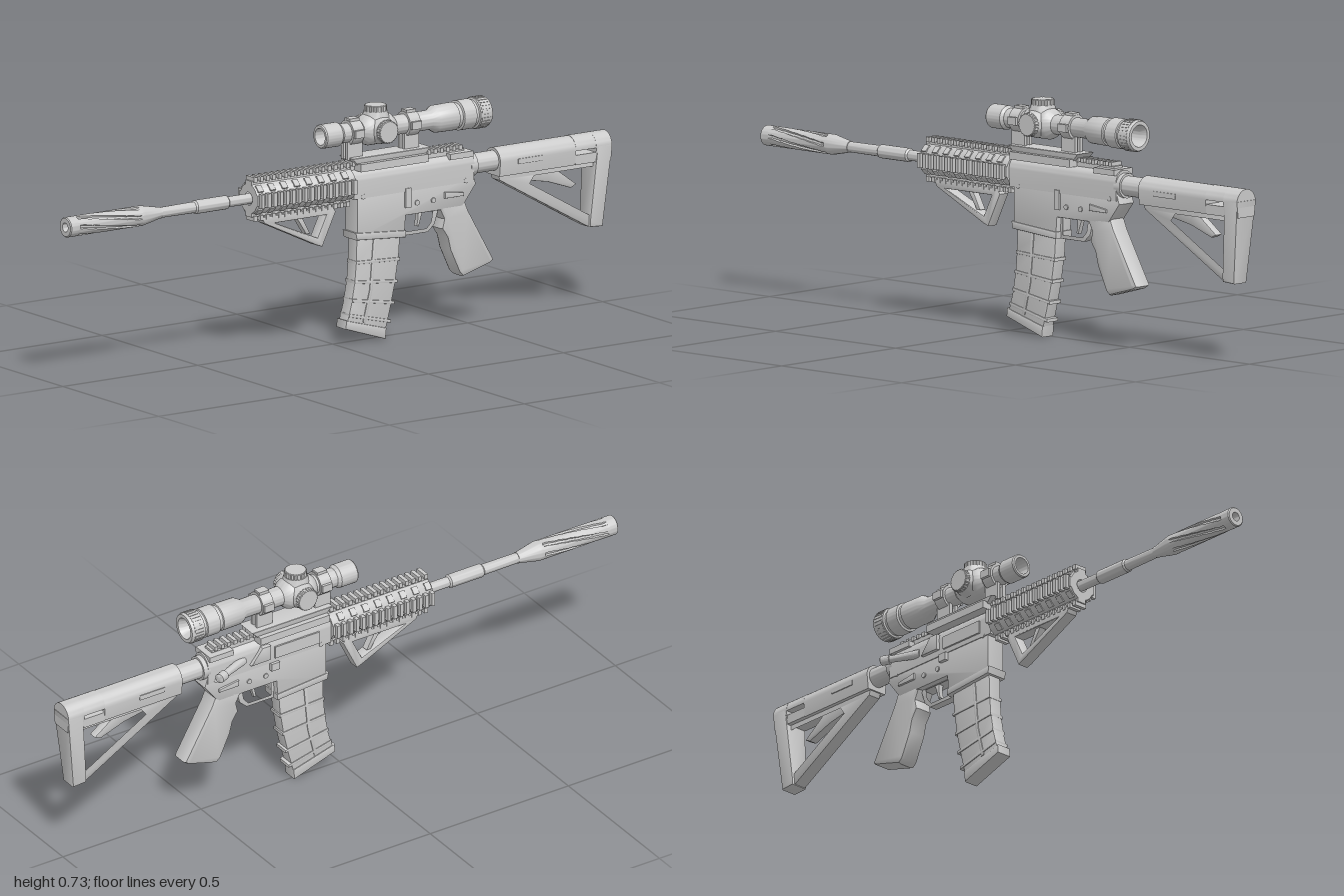
import * as THREE from 'three';
import { toCreasedNormals } from 'three/addons/utils/BufferGeometryUtils.js';

const mat = new THREE.MeshStandardMaterial({ color: 0xcccccc });
const AXIS = 0.495; // bore height
const SCOPE = 0.652; // scope axis height

export function createModel() {
  const root = new THREE.Group();
  root.name = 'rifle';
  root.position.z = 0.012;

  const add = (name, geo, parent = root) => {
    const m = new THREE.Mesh(toCreasedNormals(geo, 0.6), mat);
    m.name = name;
    parent.add(m);
    return m;
  };
  const group = (name) => {
    const g = new THREE.Group();
    g.name = name;
    root.add(g);
    return g;
  };
  // box from x, y and z ranges
  const box = (name, x0, x1, y0, y1, z0, z1, parent) =>
    add(name, new THREE.BoxGeometry(x1 - x0, y1 - y0, z1 - z0)
      .translate((x0 + x1) / 2, (y0 + y1) / 2, (z0 + z1) / 2), parent);
  // turned part along x, profile of [x, radius]
  const turned = (name, pts, y, parent, seg = 40) =>
    add(name, new THREE.LatheGeometry(pts.map(([x, r]) => new THREE.Vector2(r, x)), seg)
      .rotateZ(-Math.PI / 2).translate(0, y, 0), parent);
  const poly = (pts) => pts.map(([x, y]) => new THREE.Vector2(x, y));
  // side outline extruded symmetrically to a half width
  const plateGeo = (pts, half, bevel = 0.004, holes = []) => {
    const s = new THREE.Shape(poly(pts));
    holes.forEach((h) => s.holes.push(new THREE.Path(poly(h))));
    const depth = 2 * (half - bevel);
    return new THREE.ExtrudeGeometry(s, {
      depth, bevelEnabled: bevel > 0, bevelSize: bevel, bevelOffset: -bevel, bevelThickness: bevel, bevelSegments: 2,
    }).translate(0, 0, -depth / 2);
  };
  const plate = (name, pts, half, bevel, holes, parent) => add(name, plateGeo(pts, half, bevel, holes), parent);
  // cross-section of [z, y] swept along x
  const swept = (name, pts, x0, x1, parent) =>
    add(name, new THREE.ExtrudeGeometry(new THREE.Shape(poly(pts)), { depth: x1 - x0, bevelEnabled: false })
      .rotateY(Math.PI / 2).translate(x0, 0, 0), parent);
  const arch = (r, yc, yb, hb) => {
    const p = [[-hb, yb], [hb, yb]];
    for (let i = 0; i <= 16; i++) p.push([r * Math.cos(i * Math.PI / 16), yc + r * Math.sin(i * Math.PI / 16)]);
    return p;
  };
  // knob with a ridged rim, along y, pivoted by rx about x
  const knob = (name, r, h, x, y, z, rx, parent, ridges = 24) => {
    const s = new THREE.Shape(Array.from({ length: ridges * 2 }, (_, i) => {
      const a = i * Math.PI / ridges, q = i % 2 ? r : r * 0.94;
      return new THREE.Vector2(q * Math.cos(a), q * Math.sin(a));
    }));
    const m = add(name, new THREE.ExtrudeGeometry(s, { depth: h, bevelEnabled: true, bevelSize: 0.002, bevelOffset: -0.002, bevelThickness: 0.002, bevelSegments: 1 })
      .rotateX(-Math.PI / 2 + rx), parent);
    m.position.set(x, y, z);
  };

  // Barrel
  turned('barrel', [[-0.66, 0], [-0.66, 0.016], [-0.525, 0.017], [-0.52, 0.021], [-0.405, 0.021], [-0.4, 0.016], [-0.3, 0.016], [-0.3, 0]], AXIS);

  // Muzzle suppressor with spiral flutes
  const sup = new THREE.CylinderGeometry(0.031, 0.031, 0.24, 96, 24, true).rotateZ(-Math.PI / 2).translate(-0.85, 0, 0);
  const p = sup.attributes.position;
  for (let i = 0; i < p.count; i++) {
    const x = p.getX(i), a = Math.atan2(p.getZ(i), p.getY(i));
    const fade = x > -0.96 && x < -0.735;
    const k = fade && Math.cos(6 * (a - x * 5)) > 0.55 ? 0.83 : 1;
    p.setY(i, p.getY(i) * k);
    p.setZ(i, p.getZ(i) * k);
  }
  add('suppressorBody', sup.translate(0, AXIS, 0));
  turned('suppressorTail', [[-0.735, 0.031], [-0.72, 0.031], [-0.655, 0.018], [-0.65, 0.018], [-0.65, 0]], AXIS);
  turned('suppressorMuzzle', [[-0.9, 0], [-0.9, 0.014], [-1, 0.014], [-1, 0.028], [-0.997, 0.031], [-0.965, 0.031]].map(([x, r]) => [x, r]), AXIS);

  // Handguard with four toothed rails
  const hg = group('handguard');
  turned('handguardCore', [[-0.32, 0.02], [-0.32, 0.046], [-0.315, 0.049], [0.045, 0.049], [0.045, 0]], AXIS, hg, 16);
  for (let s = 0; s < 4; s++) {
    const rail = new THREE.Group();
    rail.name = 'rail';
    rail.position.y = AXIS;
    rail.rotation.x = s * Math.PI / 2;
    hg.add(rail);
    const d = s % 2 ? -0.006 : 0;
    box('railBase', -0.32, 0.045, 0.03, 0.056 + d, -0.016, 0.016, rail);
    for (let i = 0; i < 16; i++) {
      const x = -0.315 + i * 0.0228;
      box('railTooth', x, x + 0.012, 0.052 + d, 0.068 + d, -0.022, 0.022, rail);
    }
  }
  for (const sy of [-1, 1]) for (const sz of [-1, 1]) for (let i = 0; i < 8; i++) {
    // raised frames between the vent slots
    const m = box('ventRib', -0.315 + i * 0.045, -0.295 + i * 0.045, -0.012, 0.012, 0.044, 0.052, hg);
    m.position.y = AXIS;
    m.rotation.x = (sz > 0 ? 0 : Math.PI) + sy * Math.PI / 4;
  }

  // Angled foregrip
  plate('foregrip', [[-0.285, 0.435], [-0.02, 0.435], [-0.01, 0.418], [-0.06, 0.315], [-0.08, 0.322], [-0.275, 0.415]], 0.02, 0.004,
    [[[-0.235, 0.412], [-0.078, 0.345], [-0.045, 0.412]]]);
  plate('foregripBrace', [[-0.15, 0.415], [-0.13, 0.415], [-0.1, 0.36], [-0.115, 0.36]], 0.012, 0.002);

  // Receiver
  swept('upperReceiver', arch(0.037, 0.505, 0.45, 0.036), 0.045, 0.49);
  box('topRail', 0.045, 0.465, 0.535, 0.552, -0.018, 0.018);
  for (let i = 0; i < 18; i++) box('topRailTooth', 0.05 + i * 0.0232, 0.062 + i * 0.0232, 0.55, 0.564, -0.022, 0.022);
  plate('lowerReceiver', [[0.06, 0.47], [0.49, 0.47], [0.5, 0.44], [0.45, 0.375], [0.24, 0.375], [0.235, 0.31], [0.06, 0.325]], 0.033, 0.004);
  plate('magwellLip', [[0.052, 0.345], [0.24, 0.33], [0.238, 0.308], [0.056, 0.322]], 0.036, 0.004);
  box('chargingHandle', 0.4, 0.485, 0.527, 0.545, -0.04, 0.04);
  box('ejectionPortCover', 0.09, 0.25, 0.465, 0.505, -0.042, -0.03);
  plate('shellDeflector', [[0.27, 0.52], [0.3, 0.52], [0.34, 0.47], [0.27, 0.47]], 0.008, 0.002).position.z = -0.04;
  box('boltCatch', 0.235, 0.255, 0.4, 0.46, 0.03, 0.04);
  box('magazineRelease', 0.235, 0.265, 0.425, 0.45, -0.045, -0.03);
  plate('selectorLever', [[0.38, 0.43], [0.45, 0.42], [0.45, 0.41], [0.38, 0.41]], 0.04, 0.002);
  for (const [x, y] of [[0.08, 0.455], [0.28, 0.41], [0.34, 0.41], [0.46, 0.455]])
    add('pin', new THREE.CylinderGeometry(0.008, 0.008, 0.074, 16).rotateX(Math.PI / 2).translate(x, y, 0));

  // Forward assist, angled out of the far side
  const assist = group('forwardAssist');
  assist.position.set(0.36, 0.49, -0.03);
  assist.rotation.y = 0.4;
  turned('assistPlunger', [[0, 0], [0, 0.014], [0.09, 0.011], [0.1, 0.011], [0.1, 0.015], [0.128, 0.015], [0.13, 0.012], [0.13, 0]], 0, assist, 20);

  // Trigger and guard
  plate('triggerGuard', [[0.23, 0.38], [0.375, 0.38], [0.36, 0.33], [0.335, 0.308], [0.23, 0.308]], 0.014, 0.002,
    [[[0.245, 0.374], [0.355, 0.374], [0.348, 0.337], [0.33, 0.318], [0.245, 0.318]]]);
  plate('trigger', [[0.3, 0.385], [0.325, 0.385], [0.315, 0.36], [0.305, 0.328], [0.297, 0.33], [0.302, 0.355]], 0.008, 0.002);

  // Pistol grip
  plate('pistolGrip', [[0.36, 0.39], [0.46, 0.395], [0.475, 0.36], [0.57, 0.195], [0.555, 0.185], [0.455, 0.157], [0.44, 0.17],
    [0.405, 0.245], [0.395, 0.285], [0.375, 0.315], [0.382, 0.345]], 0.033, 0.012);

  // Curved magazine with ribs
  const mag = group('magazine');
  plate('magazineBody', [[0.065, 0.35], [0.228, 0.35], [0.222, 0.26], [0.208, 0.17], [0.188, 0.085], [0.168, 0.012],
    [0.025, 0.055], [0.044, 0.12], [0.057, 0.19], [0.063, 0.26]], 0.023, 0.004, [], mag);
  plate('magazineFloor', [[0.024, 0.076], [0.174, 0.034], [0.17, 0], [0.022, 0.049]], 0.026, 0.004, [], mag);
  for (const [y, x0, x1, t] of [[0.255, 0.061, 0.224, 0.05], [0.195, 0.056, 0.214, 0.1], [0.14, 0.047, 0.203, 0.17], [0.095, 0.035, 0.191, 0.24]])
    plate('magazineRib', [[x0, y], [x1, y - (x1 - x0) * t], [x1, y - (x1 - x0) * t - 0.01], [x0, y - 0.01]], 0.0255, 0.002, [], mag);
  plate('magazineSpine', [[0.125, 0.32], [0.137, 0.32], [0.122, 0.16], [0.098, 0.06], [0.086, 0.063], [0.111, 0.16]], 0.0255, 0.002, [], mag);

  // Buffer tube and stock
  turned('bufferTube', [[0.48, 0], [0.48, 0.038], [0.505, 0.038], [0.505, 0.031], [0.62, 0.031], [0.62, 0]], AXIS);
  const stock = group('stock');
  swept('stockTube', arch(0.04, AXIS, 0.45, 0.035), 0.585, 0.865, stock);
  swept('stockTubeTop', arch(0.04, 0.496, 0.494, 0.04), 0.865, 0.94, stock);
  box('stockTubeUnder', 0.865, 0.94, 0.45, 0.48, -0.037, 0.037, stock);
  swept('stockTubeEnd', arch(0.041, AXIS, 0.45, 0.035), 0.94, 0.998, stock);
  for (const z of [-1, 1]) box('stockSlotRim', 0.65, 0.74, 0.482, 0.498, z * 0.04 - 0.002, z * 0.04 + 0.002, stock);
  plate('stockFrame', [[0.585, 0.465], [0.97, 0.465], [0.96, 0.25], [0.92, 0.25], [0.595, 0.435]], 0.022, 0.004,
    [[[0.72, 0.438], [0.945, 0.438], [0.932, 0.278], [0.7, 0.41]]], stock);
  plate('stockLever', [[0.655, 0.455], [0.79, 0.455], [0.885, 0.385], [0.865, 0.375], [0.78, 0.405], [0.7, 0.42]], 0.014, 0.003, [], stock);
  const butt = plateGeo([[0.945, 0.5], [1, 0.5], [0.973, 0.245], [0.925, 0.248], [0.925, 0.265]], 0.042, 0.005);
  const bp = butt.attributes.position;
  for (let i = 0; i < bp.count; i++) bp.setZ(i, bp.getZ(i) * (0.67 + 0.33 * (bp.getY(i) - 0.245) / 0.255));
  butt.computeVertexNormals();
  add('buttPad', butt, stock);

  // Scope mount
  const mount = group('scopeMount');
  box('mountClamp', 0.06, 0.31, 0.536, 0.56, -0.052, 0.052, mount);
  plate('mountBase', [[0.04, 0.577], [0.33, 0.577], [0.31, 0.555], [0.06, 0.555]], 0.036, 0.003, [], mount);
  for (const x of [0.045, 0.255]) {
    for (const z of [-0.011, 0.011]) box('ringPost', x - 0.01, x + 0.045, 0.57, 0.625, z - 0.006, z + 0.006, mount);
    turned('scopeRing', [[x - 0.002, 0.027], [x - 0.002, 0.038], [x + 0.037, 0.038], [x + 0.037, 0.027]], SCOPE, mount);
    for (const z of [-1, 1]) box('ringLug', x, x + 0.035, SCOPE - 0.012, SCOPE + 0.012, z * 0.038 - 0.007, z * 0.038 + 0.007, mount);
    box('ringCap', x, x + 0.035, SCOPE + 0.03, SCOPE + 0.044, -0.014, 0.014, mount);
  }

  // Open scope tube, outer profile then back along the bore
  const scope = group('scope');
  turned('scopeTube', [[-0.056, 0.026], [-0.056, 0.034], [-0.052, 0.037], [0.005, 0.037], [0.015, 0.03], [0.09, 0.03], [0.105, 0.044],
    [0.115, 0.048], [0.185, 0.048], [0.195, 0.044], [0.21, 0.03], [0.345, 0.03], [0.365, 0.042], [0.435, 0.043], [0.437, 0.039], [0.448, 0.039],
    [0.45, 0.046], [0.495, 0.046], [0.497, 0.042], [0.505, 0.042], [0.507, 0.048], [0.548, 0.048], [0.553, 0.045], [0.553, 0.034],
    [0.53, 0.026], [-0.056, 0.026]], SCOPE, scope, 48);
  for (let i = 0; i < 28; i++) {
    const m = box('eyepieceRidge', 0.512, 0.544, 0.046, 0.0495, -0.003, 0.003, scope);
    m.position.y = SCOPE;
    m.rotation.x = i * Math.PI / 14;
  }
  // Turrets on top and both sides
  const X = 0.15;
  for (const [rx, out, z] of [[0, 0.053, 0], [Math.PI / 2, 0.05, 1], [-Math.PI / 2, 0.05, -1]]) {
    const base = add('turretBase', new THREE.CylinderGeometry(0.036, 0.044, 0.028, 32).translate(0, 0.042, 0), scope);
    base.position.set(X, SCOPE, 0);
    base.rotation.x = rx;
    knob('turretKnob', z ? 0.036 : 0.035, 0.019, X, SCOPE + (z ? 0 : out), z * out, rx, scope);
  }
  return root;
}
